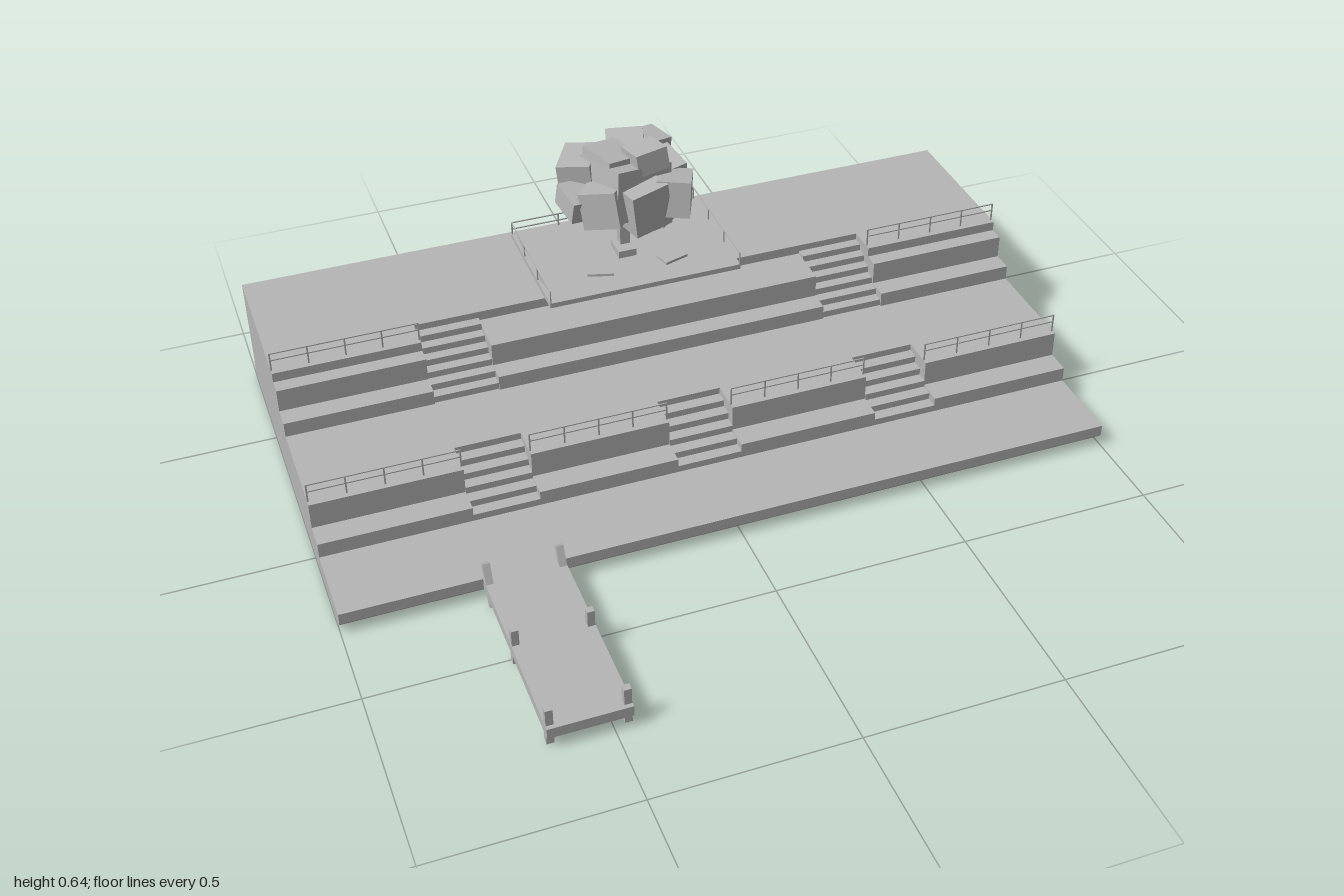
import * as THREE from 'three';

export function createModel() {
  const model = new THREE.Group();
  const stone = new THREE.MeshStandardMaterial({ color: 0xb6b6b6, side: THREE.DoubleSide });
  stone.name = 'plain grey';

  const group = (name) => {
    const g = new THREE.Group();
    g.name = name;
    model.add(g);
    return g;
  };
  // Box given by its size and centre
  const box = (parent, name, [w, h, d], [x, y, z]) => {
    const m = new THREE.Mesh(new THREE.BoxGeometry(w, h, d), stone);
    m.name = name;
    m.position.set(x, y, z);
    parent.add(m);
    return m;
  };
  // Steps from (z0, y0) back to (z1, y1), as profile points
  const stairs = (z0, y0, z1, y1, n) => {
    const pts = [];
    for (let i = 0; i < n; i++) {
      const z = z0 + (z1 - z0) * i / (n - 1);
      pts.push([z, y0 + (y1 - y0) * i / n], [z, y0 + (y1 - y0) * (i + 1) / n]);
    }
    return pts;
  };

  // Terraced ground, one slice across x for each wall or stair bay
  const G = 0.06, M = 0.17, T = 0.298;
  const lower = {
    wall: [[0.07, G], [0.07, 0.1], [0.005, 0.1], [0.005, M]],
    stair: stairs(0.07, G, -0.085, M, 6),
  };
  const upper = {
    outer: [[-0.275, M], [-0.275, 0.21], [-0.33, 0.21], [-0.33, 0.272], [-0.37, 0.272], [-0.37, T]],
    inner: [[-0.275, M], [-0.275, 0.21], [-0.33, 0.21], [-0.33, 0.272], [-0.45, 0.272], [-0.45, T]],
    stair: stairs(-0.28, M, -0.45, T, 7),
  };
  const ground = group('terracedGround');
  const bays = [
    [-1, -0.62, 'wall', 'outer'], [-0.62, -0.45, 'stair', 'stair'],
    [-0.45, -0.09, 'wall', 'inner'], [-0.09, 0.08, 'stair', 'inner'],
    [0.08, 0.45, 'wall', 'inner'], [0.45, 0.62, 'stair', 'stair'],
    [0.62, 1, 'wall', 'outer'],
  ];
  for (const [x0, x1, low, up] of bays) {
    const profile = [[0.25, 0], [0.28, 0.03], [0.28, G], ...lower[low], ...upper[up],
      [-0.79, T], [-0.79, 0.055], [-0.797, 0.04], [-0.797, 0.008], [-0.79, 0]];
    const shape = new THREE.Shape(profile.map(([z, y]) => new THREE.Vector2(-z, y)));
    const geo = new THREE.ExtrudeGeometry(shape, { depth: x1 - x0, bevelEnabled: false });
    geo.rotateY(Math.PI / 2).translate(x0, 0, 0);
    const m = new THREE.Mesh(geo, stone);
    m.name = low === 'stair' || up === 'stair' ? 'stairBay' : 'terraceBay';
    ground.add(m);
  }

  // Thin railing along x, with two rails and evenly spaced posts
  const railings = group('railings');
  const railing = (x0, x1, y, z, n) => {
    const mid = (x0 + x1) / 2, len = x1 - x0;
    for (const h of [0.03, 0.05]) box(railings, 'rail', [len, 0.003, 0.003], [mid, y + h, z]);
    for (let i = 0; i <= n; i++)
      box(railings, 'railPost', [0.004, 0.05, 0.003], [x0 + 0.002 + (len - 0.004) * i / n, y + 0.025, z]);
  };
  for (const [x0, x1] of [[-1, -0.62], [0.62, 1]]) {
    railing(x0, x1, T, -0.385, 4);
    railing(x0, x1, M, -0.01, 4);
  }
  railing(-0.45, -0.09, M, -0.01, 4);
  railing(0.08, 0.45, M, -0.01, 4);

  // Tree platform with its own railing
  const platform = group('treePlatform');
  box(platform, 'platformSlab', [0.53, 0.014, 0.36], [-0.005, 0.305, -0.58]);
  railing(-0.27, 0.26, T, -0.758, 4);
  for (const x of [-0.268, 0.258]) {
    box(railings, 'sideRail', [0.003, 0.003, 0.36], [x, 0.348, -0.58]);
    for (const z of [-0.402, -0.52, -0.64])
      box(railings, 'sidePost', [0.003, 0.05, 0.004], [x, 0.323, z]);
  }
  for (const [z0, z1] of [[-0.39, -0.51], [-0.76, -0.635]]) {
    const tri = new THREE.Shape([[-z0, 0.348], [-z1, 0.345], [-z1, 0.325]].map(([u, v]) => new THREE.Vector2(u, v)));
    const m = new THREE.Mesh(new THREE.ShapeGeometry(tri).rotateY(Math.PI / 2).translate(-0.268, 0, 0), stone);
    m.name = 'railingPanel';
    platform.add(m);
  }
  // Flat paving stones beside the trunk
  for (const [x, z] of [[-0.1, -0.5], [0.1, -0.5], [0.09, -0.66]])
    box(platform, 'pavingStone', [0.07, 0.008, 0.05], [x, 0.315, z]).rotation.y = x * 3;

  // Blocky tree
  const tree = group('tree');
  box(tree, 'trunkBase', [0.05, 0.025, 0.07], [-0.01, 0.32, -0.575]);
  box(tree, 'trunk', [0.028, 0.16, 0.028], [-0.005, 0.39, -0.588]);
  box(tree, 'branch', [0.16, 0.022, 0.07], [-0.01, 0.4, -0.635]);
  // x, y, z, width, height, depth, turn
  const leaves = [
    [0, 0.515, -0.58, 0.17, 0.14, 0.18, 0.3],
    [-0.1, 0.54, -0.66, 0.09, 0.08, 0.13, -0.5],
    [-0.13, 0.5, -0.565, 0.09, 0.06, 0.1, 0.15],
    [-0.07, 0.5, -0.53, 0.1, 0.1, 0.12, -0.6],
    [0.1, 0.53, -0.69, 0.09, 0.11, 0.09, 0.3],
    [0.12, 0.51, -0.6, 0.08, 0.11, 0.1, 0.2],
    [0.11, 0.51, -0.5, 0.09, 0.1, 0.1, -0.4],
    [0.02, 0.5, -0.49, 0.11, 0.12, 0.09, 0.25],
    [0.07, 0.47, -0.58, 0.12, 0.09, 0.16, 0.7],
    [0.05, 0.6, -0.555, 0.09, 0.06, 0.09, 0.15],
    [-0.03, 0.575, -0.6, 0.1, 0.07, 0.12, 0.3],
    [0.03, 0.57, -0.66, 0.1, 0.07, 0.1, -0.3],
    [-0.02, 0.48, -0.67, 0.12, 0.09, 0.09, 0.4],
  ];
  leaves.forEach(([x, y, z, w, h, d, turn], i) => {
    box(tree, 'leafBlock', [w, h, d], [x, y, z]).rotation.set(((i % 3) - 1) * 0.15, turn, ((i % 2) - 0.5) * 0.2);
  });

  // Jetty with mooring posts; the shore pair leans
  const jetty = group('jetty');
  box(jetty, 'jettyDeck', [0.2, 0.028, 0.52], [-0.555, 0.046, 0.53]);
  for (const x of [-0.645, -0.465]) {
    for (const z of [0.51, 0.77]) box(jetty, 'mooringPost', [0.018, 0.1, 0.018], [x, 0.054, z]);
    box(jetty, 'leaningPost', [0.018, 0.108, 0.018], [x, 0.054, 0.297]).rotation.x = -0.45;
  }
  return model;
}
